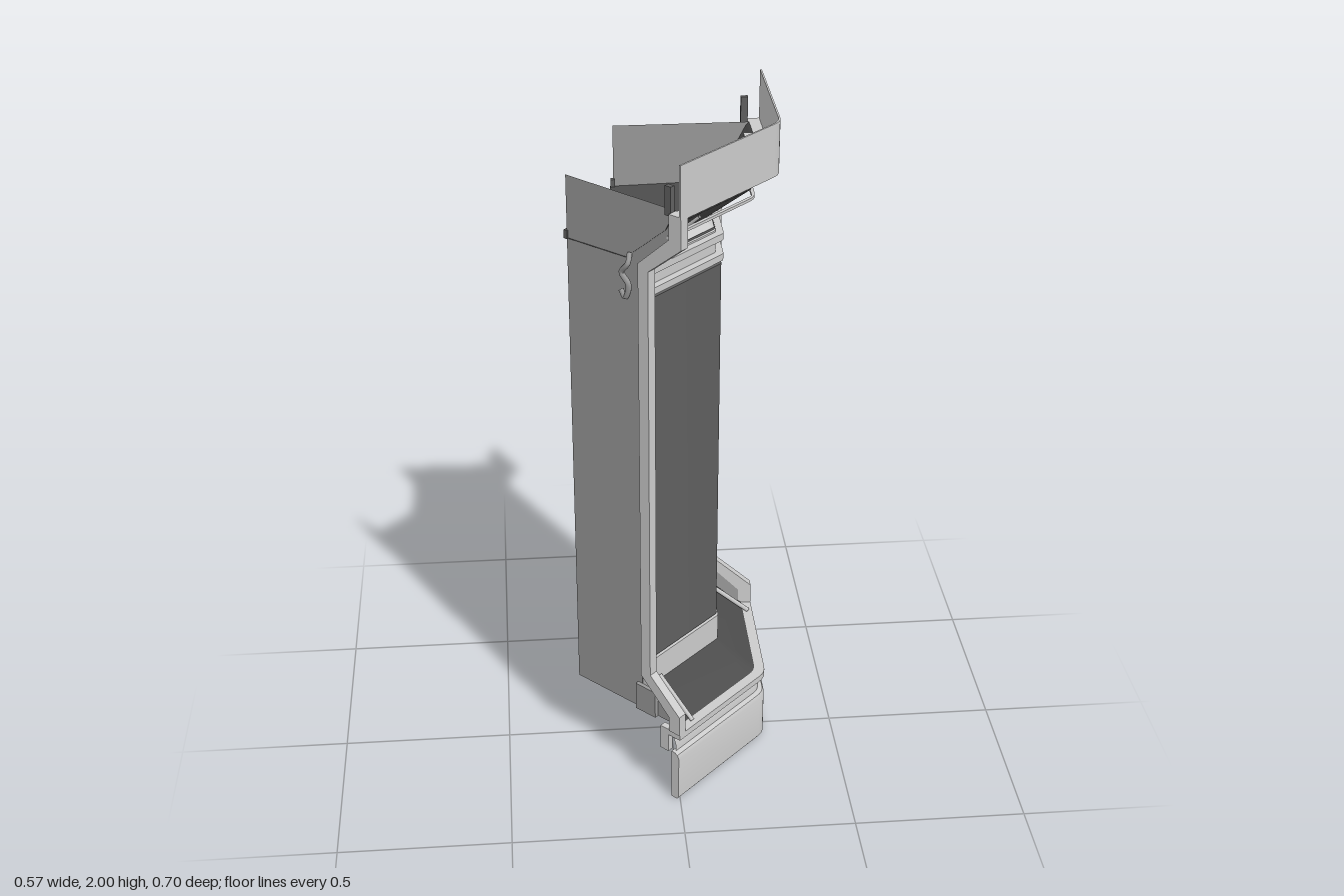
import * as THREE from 'three';
import { toCreasedNormals } from 'three/addons/utils/BufferGeometryUtils.js';

const FRONT = 0.285, BEND = 0.06, END = -0.35, H = Math.SQRT1_2;
const material = color => new THREE.MeshStandardMaterial({ color, side: THREE.DoubleSide });
const light = material(0xcccccc), mid = material(0x999999), dark = material(0x606060), deep = material(0x4c4c4c);

function add(parent, name, mat, geo, x = 0, y = 0, z = 0) {
  const m = new THREE.Mesh(geo, mat);
  m.name = name;
  m.position.set(x, y, z);
  parent.add(m);
}

function box(parent, name, mat, size, at) {
  add(parent, name, mat, new THREE.BoxGeometry(...size), ...at);
}

// Point at depth t behind the front line; s < 0 on the straight leg, s > 0 on the 45 degree leg
function along(t, s) {
  const x = FRONT - t, z = BEND - t * (Math.SQRT2 - 1);
  return s < 0 ? [x, z + s] : [x - s * H, z + s * H];
}

// Path in plan at depth t: straight leg, bend (rounder near the front), diagonal leg
function plan(t, inset) {
  const len = BEND - t * (Math.SQRT2 - 1) - END;
  const r = t < 0.07 ? 0.027 : 0.008, a = along(t, -r), m = along(t, 0), b = along(t, r);
  const pts = [along(t, inset - len)];
  for (let i = 0; i <= 5; i++) {
    const k = i / 5;
    pts.push([0, 1].map(c => (1 - k) ** 2 * a[c] + 2 * k * (1 - k) * m[c] + k * k * b[c]));
  }
  pts.push(along(t, len - inset));
  return pts;
}

// Sweeps a (depth, height) profile round the corner; closed profiles get end caps
function sweep(parent, name, mat, profile, closed, inset = 0) {
  const rows = profile.map(([t, y]) => plan(t, inset).map(([x, z]) => [x, y, z]));
  const n = rows.length, pos = [];
  for (let i = 0; i < (closed ? n : n - 1); i++) {
    const p = rows[i], q = rows[(i + 1) % n];
    for (let j = 0; j + 1 < p.length; j++) {
      pos.push(...p[j], ...p[j + 1], ...q[j + 1], ...p[j], ...q[j + 1], ...q[j]);
    }
  }
  if (closed) {
    const tris = THREE.ShapeUtils.triangulateShape(profile.map(p => new THREE.Vector2(...p)), []);
    const e = rows[0].length - 1;
    for (const [a, b, c] of tris) {
      pos.push(...rows[a][0], ...rows[b][0], ...rows[c][0]);
      pos.push(...rows[a][e], ...rows[c][e], ...rows[b][e]);
    }
  }
  const g = new THREE.BufferGeometry();
  g.setAttribute('position', new THREE.Float32BufferAttribute(pos, 3));
  add(parent, name, mat, toCreasedNormals(g, 0.5));
}

const rect = (t0, t1, y0, y1) => [[t0, y0], [t0, y1], [t1, y1], [t1, y0]];
const outline = pts => new THREE.Shape(pts.map(([t, y]) => new THREE.Vector2(FRONT - t, y)));

function rod(parent, name, mat, pts, r) {
  const curve = new THREE.CatmullRomCurve3(pts.map(p => new THREE.Vector3(...p)));
  add(parent, name, mat, new THREE.TubeGeometry(curve, pts.length * 4, r, 6));
}

// Everything belonging to one leg, made on the straight leg
function legParts(name) {
  const g = new THREE.Group();
  g.name = name;

  // Flared frame closing the end
  const rib = outline([
    [0, 0.235], [0, 0.3], [0.11, 0.4], [0.11, 1.68], [0, 1.77], [0, 1.86],
    [0.04, 1.86], [0.04, 1.79], [0.145, 1.695], [0.145, 0.385], [0.04, 0.285], [0.04, 0.235]]);
  add(g, 'endFrame', light, new THREE.ExtrudeGeometry(rib, { depth: 0.028, bevelEnabled: false }), 0, 0, -0.348);

  // Thin side plate reaching back
  const plate = outline([
    [0.42, 0.24], [0.04, 0.24], [0.04, 0.285], [0.135, 0.385],
    [0.135, 1.695], [0.04, 1.79], [0.04, 1.86], [0.42, 1.86]]);
  add(g, 'sidePlate', mid, new THREE.ShapeGeometry(plate), 0, 0, -0.319);

  // Hook, stud and tabs at the end
  rod(g, 'hook', mid, [[0.09, 1.7, -0.322], [0.1, 1.68, -0.341], [0.078, 1.65, -0.341],
    [0.102, 1.62, -0.341], [0.09, 1.58, -0.341], [0.075, 1.6, -0.341]], 0.008);
  box(g, 'plateStud', dark, [0.012, 0.025, 0.012], [-0.137, 1.69, -0.317]);
  box(g, 'lowerBracket', mid, [0.075, 0.09, 0.012], [0.142, 0.285, -0.326]);
  box(g, 'trayEnd', light, [0.03, 0.08, 0.02], [0.225, 0.195, -0.334]);
  box(g, 'upperTab', dark, [0.02, 0.08, 0.014], [0.235, 1.89, -0.333]);

  // Struts across the coves
  rod(g, 'upperStrut', light, [[0.225, 1.8, -0.2], [0.12, 1.708, -0.2]], 0.005);
  rod(g, 'lowerStrut', light, [[0.27, 0.24, -0.27], [0.145, 0.345, -0.27]], 0.007);

  // Vent bolts and corner plates of the panel
  for (const z of [-0.29, -0.05]) box(g, 'ventBolt', light, [0.025, 0.08, 0.014], [0.105, 1.63, z]);
  for (const y of [0.437, 1.555]) box(g, 'cornerPlate', light, [0.006, 0.025, 0.022], [0.141, y, -0.296]);

  // Clip on the top of the hood lip
  box(g, 'hoodClip', light, [0.025, 0.012, 0.025], [0.232, 1.862, -0.2]);
  return g;
}

export function createModel() {
  const model = new THREE.Group();
  model.name = 'cornerWallSection';

  // Base and tray
  sweep(model, 'base', light, [[0.006, 0], [0, 0.008], [0, 0.15], [0.005, 0.162], [0.015, 0.167],
    [0.028, 0.167], [0.028, 0]], true);
  sweep(model, 'baseRecess', light, [[0.018, 0.165], [0.02, 0.19], [0.03, 0.216]], false, 0.01);
  sweep(model, 'tray', light, rect(0, 0.06, 0.216, 0.236), true, 0.005);
  sweep(model, 'lowerCove', deep, [[0.03, 0.237], [0.05, 0.25], [0.14, 0.33]], false, 0.03);

  // Wall, backing, skirting and panel
  sweep(model, 'skirting', light, rect(0.14, 0.155, 0.33, 0.415), true, 0.03);
  sweep(model, 'wall', light, rect(0.155, 0.162, 0.33, 1.58), true, 0.03);
  sweep(model, 'wallBacking', dark, [[0.164, 0.24], [0.164, 1.68]], false, 0.03);
  sweep(model, 'panel', dark, rect(0.145, 0.156, 0.42, 1.575), true, 0.04);
  box(model, 'seamStrip', light, [0.005, 1.155, 0.018], [0.141, 0.9975, -0.117]);
  for (const y of [0.48, 1.5]) box(model, 'seamLatch', dark, [0.008, 0.03, 0.014], [0.142, y, -0.117]);

  // Vent band with two rails
  sweep(model, 'ventBack', light, [[0.15, 1.578], [0.161, 1.59], [0.161, 1.67], [0.19, 1.7]], false, 0.035);
  for (const y of [1.595, 1.655]) sweep(model, 'ventRail', light, rect(0.14, 0.161, y - 0.01, y + 0.01), true, 0.04);

  // Hood over the wall: lip, slope and level back
  sweep(model, 'hood', deep,
    [[0.037, 1.86], [0.045, 1.852], [0.072, 1.8], [0.2, 1.692], [0.21, 1.685], [0.43, 1.68]], false, 0.028);
  sweep(model, 'hoodLedge', light, rect(0, 0.037, 1.852, 1.86), true, 0.005);
  sweep(model, 'hoodRail', light, rect(0.06, 0.07, 1.775, 1.783), true, 0.03);
  sweep(model, 'fascia', light, rect(0, 0.005, 1.855, 2), true);

  // The diagonal leg mirrors the straight one about the mitre
  model.add(legParts('straightLeg'));
  const diagonal = legParts('diagonalLeg');
  diagonal.scale.z = -1;
  diagonal.rotation.y = -Math.PI / 4;
  diagonal.position.set(FRONT - H * (FRONT + BEND), 0, BEND - H * (FRONT - BEND));
  model.add(diagonal);
  return model;
}
